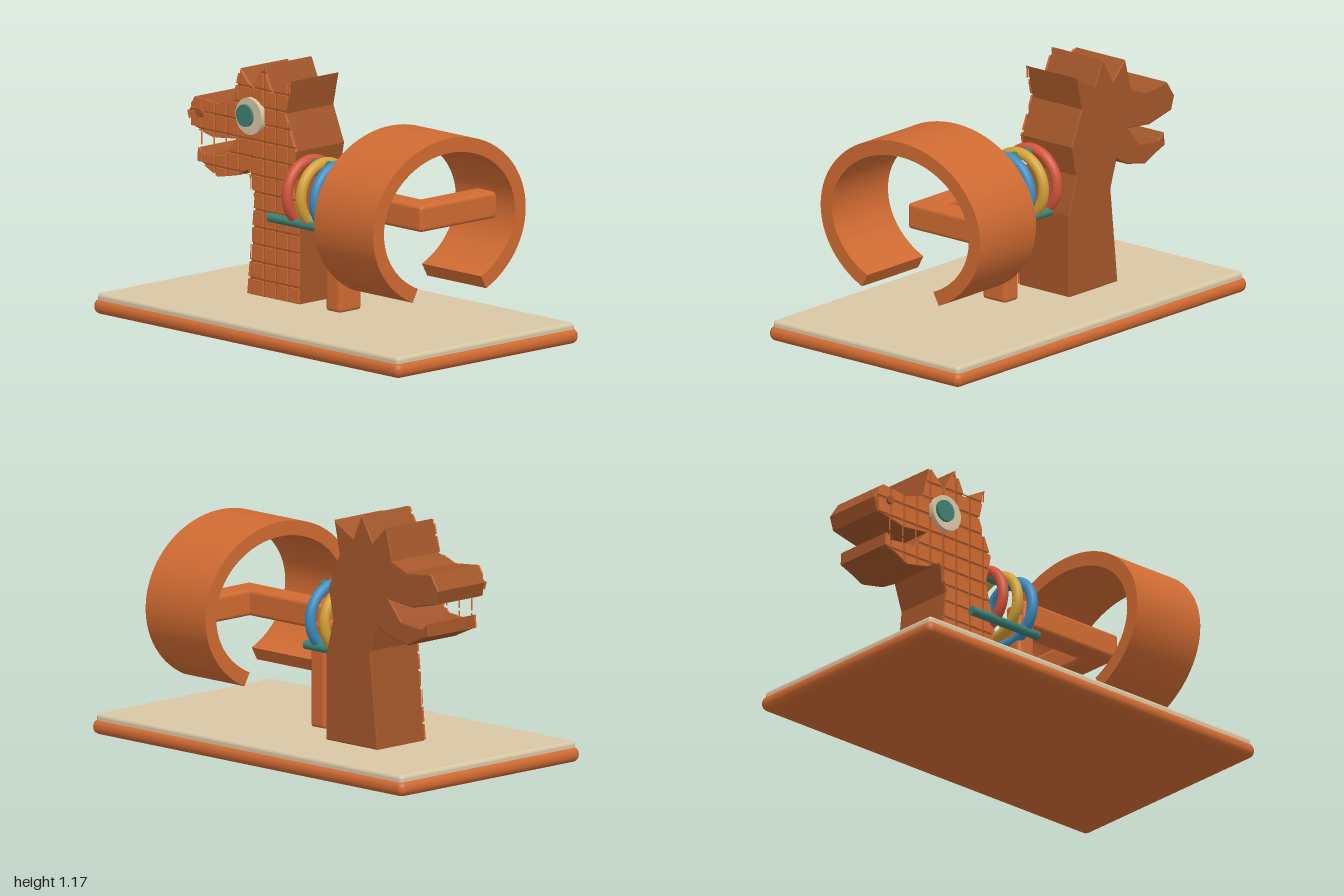
import * as THREE from 'three';
import { toCreasedNormals } from 'three/addons/utils/BufferGeometryUtils.js';
import { RoundedBoxGeometry } from 'three/addons/geometries/RoundedBoxGeometry.js';

const mat = (name, color) => new THREE.MeshStandardMaterial({ name, color });

// Side profile of the dragon-like head and neck
const PROFILE = [
  [-0.495, 0.095], [-0.163, 0.095], [-0.163, 0.48], [-0.21, 0.66], [-0.18, 0.8], [-0.25, 0.965],
  [-0.217, 1.118], [-0.34, 1.05], [-0.393, 1.166], [-0.463, 1.048], [-0.548, 1.13], [-0.588, 0.98],
  [-0.687, 0.943], [-0.837, 0.957], [-0.885, 0.885], [-0.865, 0.82], [-0.714, 0.786], [-0.565, 0.803],
  [-0.645, 0.71], [-0.78, 0.697], [-0.815, 0.725], [-0.82, 0.665], [-0.767, 0.645], [-0.687, 0.608],
  [-0.565, 0.633], [-0.488, 0.674], [-0.447, 0.545],
];

// Cut a polygon by one side of a grid cell (axis 0 = x, 1 = y)
function clip(points, axis, limit, sign) {
  const out = [];
  points.forEach((p, i) => {
    const q = points[(i + 1) % points.length];
    const dp = sign * (p[axis] - limit), dq = sign * (q[axis] - limit);
    if (dp >= 0) out.push(p);
    if ((dp >= 0) !== (dq >= 0)) {
      const t = dp / (dp - dq);
      out.push([p[0] + (q[0] - p[0]) * t, p[1] + (q[1] - p[1]) * t]);
    }
  });
  return out;
}

const toShape = pts => new THREE.Shape(pts.map(p => new THREE.Vector2(p[0], p[1])));

export function createModel() {
  const model = new THREE.Group();
  model.name = 'ringToy';
  const orange = mat('orange wood', 0xcf6a32);
  const brown = mat('brown wood', 0xa3562a);
  const cream = mat('cream', 0xd8c7a5);
  const teal = mat('teal', 0x3f8074);
  const red = mat('red', 0xd2553a);
  const yellow = mat('yellow', 0xd3a236);
  const blue = mat('blue', 0x3d8cc0);

  const add = (name, geometry, material, x = 0, y = 0, z = 0, parent = model) => {
    const mesh = new THREE.Mesh(geometry, material);
    mesh.name = name;
    mesh.position.set(x, y, z);
    parent.add(mesh);
    return mesh;
  };
  // Rounded box given by its limits
  const box = (name, material, [x0, x1], [y0, y1], [z0, z1], r) =>
    add(name, new RoundedBoxGeometry(x1 - x0, y1 - y0, z1 - z0, 4, r), material,
      (x0 + x1) / 2, (y0 + y1) / 2, (z0 + z1) / 2);

  // Base board and its top panel
  box('base', orange, [-1, 1], [0, 0.07], [-0.573, 0.573], 0.033);
  box('basePanel', cream, [-0.982, 0.982], [0.04, 0.097], [-0.557, 0.557], 0.018);

  // Head and neck block
  const head = new THREE.Group();
  head.name = 'head';
  model.add(head);
  const bevel = 0.006;
  add('headBlock', new THREE.ExtrudeGeometry(toShape(PROFILE), {
    depth: 0.3 - 2 * bevel, bevelThickness: bevel, bevelSize: bevel, bevelOffset: -bevel, bevelSegments: 2,
  }), brown, 0, 0, -0.227 + bevel, head);

  // Scale tiles on the front, trimmed to the profile
  const step = 0.08, gap = 0.006;
  for (let x = -0.948; x < -0.16; x += step) {
    for (let y = 0.095; y < 1.17; y += step) {
      let cell = clip(PROFILE, 0, x + gap, 1);
      cell = clip(cell, 0, x + step - gap, -1);
      cell = clip(cell, 1, y + gap, 1);
      cell = clip(cell, 1, y + step - gap, -1);
      if (cell.length < 3) continue;
      const shape = toShape(cell);
      if (Math.abs(THREE.ShapeUtils.area(shape.getPoints())) < 0.00005) continue;
      add('scaleTile', new THREE.ExtrudeGeometry(shape, { depth: 0.009, bevelEnabled: false }),
        orange, 0, 0, 0.073, head);
    }
  }

  // Eye, pupil and nostril
  const disc = (name, material, r, x, y, z0, z1) =>
    add(name, new THREE.CylinderGeometry(r, r, z1 - z0, 40).rotateX(Math.PI / 2), material,
      x, y, (z0 + z1) / 2, head);
  disc('eye', cream, 0.085, -0.465, 0.924, 0.07, 0.102);
  disc('pupil', teal, 0.051, -0.482, 0.926, 0.09, 0.115);
  disc('nostril', brown, 0.02, -0.8, 0.888, 0.07, 0.094);

  // Post and bent arm
  box('post', orange, [0, 0.1], [0.09, 0.585], [-0.07, 0.072], 0.022);
  box('arm', orange, [0.04, 0.61], [0.545, 0.667], [-0.063, 0.063], 0.018);
  box('crossArm', orange, [0.49, 0.62], [0.545, 0.667], [-0.42, 0.063], 0.018);

  // Open oval band, missing its lower part
  const cut = THREE.MathUtils.degToRad(61.2);
  const band = new THREE.Shape();
  band.absellipse(0, 0, 0.478, 0.387, -cut, Math.PI + cut, false);
  band.absellipse(0, 0, 0.41, 0.319, Math.PI + cut, -cut, true);
  const bandGeometry = new THREE.ExtrudeGeometry(band, {
    depth: 0.385, bevelEnabled: false, curveSegments: 72,
  }).rotateY(Math.PI / 2);
  add('openBand', toCreasedNormals(bandGeometry, 0.5), orange, 0.355, 0.605, 0);

  // Three coloured rings
  [['redRing', red, -0.165], ['yellowRing', yellow, -0.075], ['blueRing', blue, 0.015]].forEach(
    ([name, material, x]) => add(name,
      new THREE.TorusGeometry(0.148, 0.025, 20, 64).rotateY(Math.PI / 2), material, x, 0.607, 0));

  // Rods carrying the rings
  [[0.745, 0], [0.481, 0.107], [0.481, -0.107]].forEach(([y, z]) => add('rod',
    new THREE.CylinderGeometry(0.021, 0.021, 0.405, 24).rotateZ(Math.PI / 2), teal, -0.118, y, z));

  return model;
}
